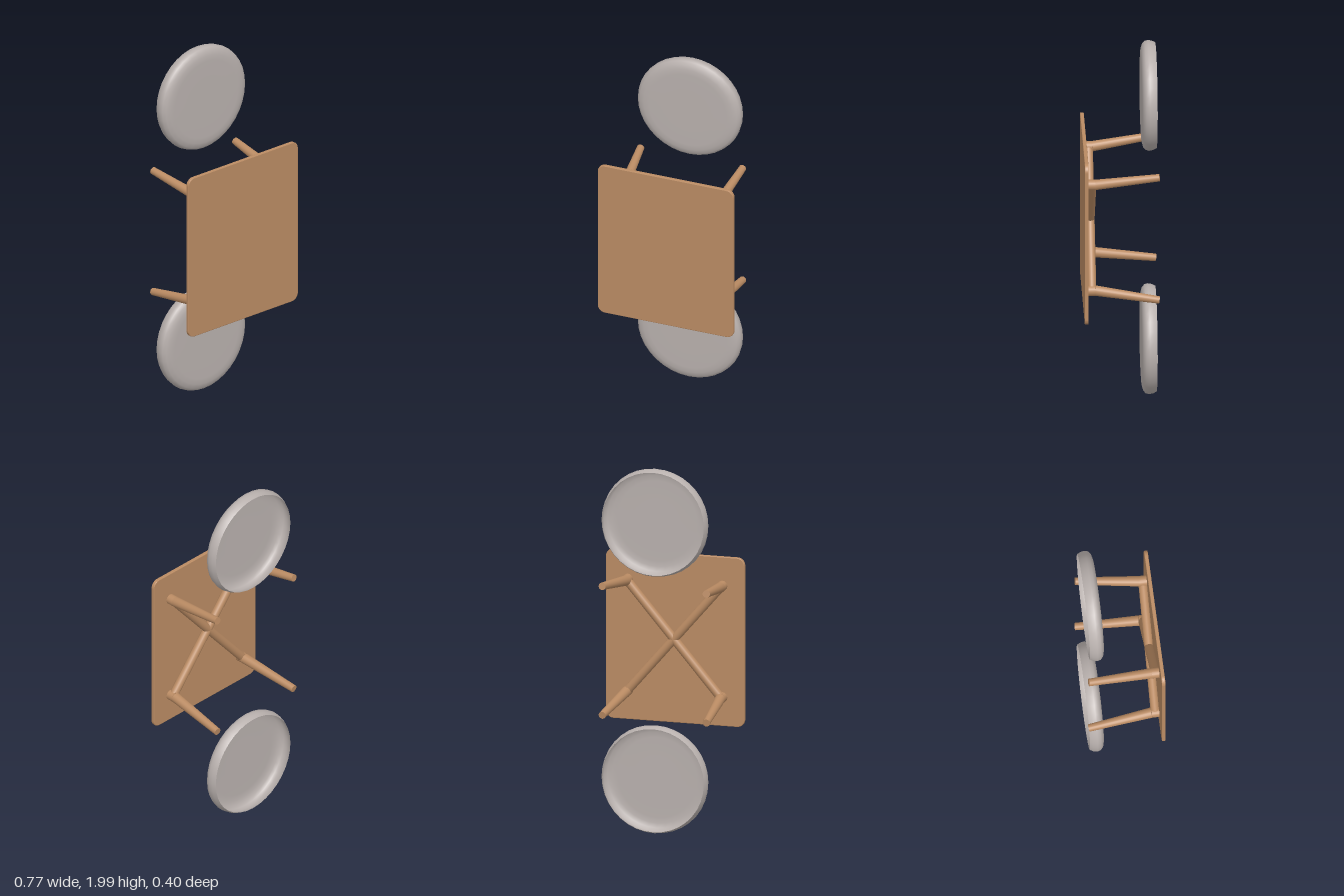
import * as THREE from 'three';

const wood = new THREE.MeshStandardMaterial({ color: 0xba8b63 });
wood.name = 'warm wood';
const fabric = new THREE.MeshStandardMaterial({ color: 0xb8b0ad, side: THREE.DoubleSide });
fabric.name = 'grey fabric';

const CY = 0.995; // height of the table's centre

// Tapered round bar from point a to point b
function bar(name, a, b, ra, rb) {
  const dir = b.clone().sub(a);
  const mesh = new THREE.Mesh(new THREE.CylinderGeometry(rb, ra, dir.length(), 20), wood);
  mesh.position.copy(a).add(b).multiplyScalar(0.5);
  mesh.quaternion.setFromUnitVectors(new THREE.Vector3(0, 1, 0), dir.normalize());
  mesh.name = name;
  return mesh;
}

// Rounded rectangular board with a fine bevel
function tableTop() {
  const w = 0.383, h = 0.461, r = 0.04, s = new THREE.Shape();
  s.absarc(w - r, h - r, r, 0, Math.PI / 2);
  s.absarc(-w + r, h - r, r, Math.PI / 2, Math.PI);
  s.absarc(-w + r, -h + r, r, Math.PI, Math.PI * 1.5);
  s.absarc(w - r, -h + r, r, Math.PI * 1.5, Math.PI * 2);
  const geo = new THREE.ExtrudeGeometry(s, {
    depth: 0.012, bevelThickness: 0.004, bevelSize: 0.004, bevelOffset: -0.002, bevelSegments: 2, curveSegments: 6,
  });
  const mesh = new THREE.Mesh(geo, wood);
  mesh.position.set(0, CY, 0.184);
  mesh.name = 'tableTop';
  return mesh;
}

// Round cushion shell, open towards the back
function cushion(name, y) {
  const profile = [
    [0.282, -0.19], [0.291, -0.172], [0.295, -0.15], [0.29, -0.132],
    [0.275, -0.119], [0.25, -0.112], [0.22, -0.11], [0.12, -0.11], [0, -0.11],
  ].map(([r, z]) => new THREE.Vector2(r, z));
  const geo = new THREE.LatheGeometry(profile, 36);
  geo.rotateX(Math.PI / 2);
  const mesh = new THREE.Mesh(geo, fabric);
  mesh.position.set(0.01, y, 0);
  mesh.name = name;
  return mesh;
}

export function createModel() {
  const group = new THREE.Group();
  group.name = 'tableWithCushions';
  group.add(tableTop());

  // Splayed legs, each joined to the diagonal braces under the board
  for (const sx of [-1, 1]) {
    for (const sy of [-1, 1]) {
      const top = new THREE.Vector3(sx * 0.262, CY + sy * 0.305, 0.182);
      const knee = new THREE.Vector3(sx * 0.262, CY + sy * 0.305, 0.14);
      const foot = new THREE.Vector3(sx * 0.289, CY + sy * 0.353, -0.2);
      group.add(bar('legJoint', top, knee, 0.028, 0.028));
      group.add(bar('leg', knee, foot, 0.028, 0.02));
    }
  }
  for (const s of [-1, 1]) {
    group.add(bar('crossBrace',
      new THREE.Vector3(-0.262, CY - s * 0.305, 0.159),
      new THREE.Vector3(0.262, CY + s * 0.305, 0.159), 0.024, 0.024));
  }

  group.add(cushion('upperCushion', 1.705), cushion('lowerCushion', 0.301));
  return group;
}
